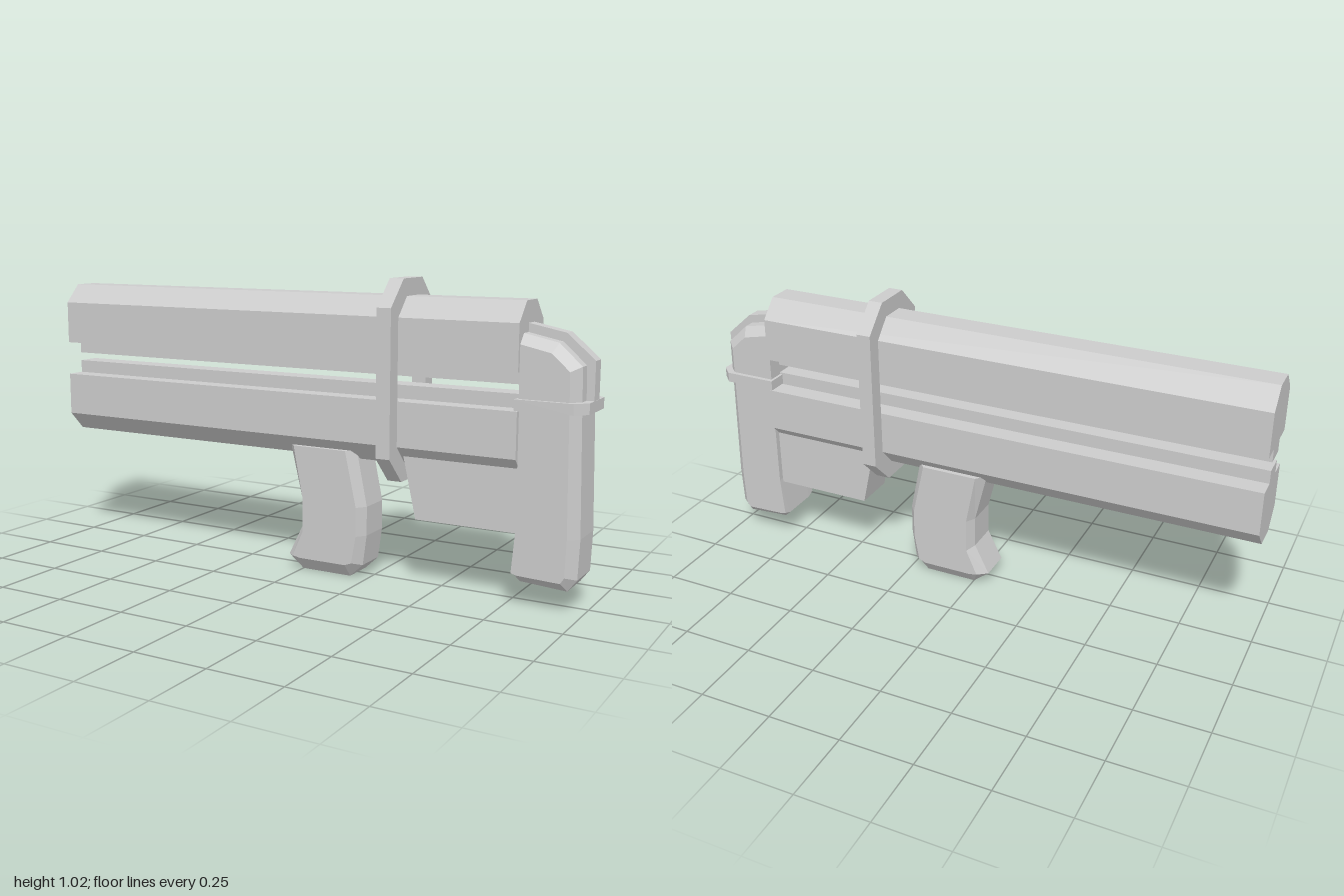
import * as THREE from 'three';

const material = new THREE.MeshStandardMaterial({ color: 0xcccccc, flatShading: true, roughness: 0.8 });

const toPoints = (list) => list.map(([a, b]) => new THREE.Vector2(a, b));

// Mirror the right half of a cross-section across the vertical axis
const mirrored = (half) => [...half, ...half.map(([a, b]) => [-a, b]).reverse()];

function addMesh(group, name, geometry) {
  const mesh = new THREE.Mesh(geometry, material);
  mesh.name = name;
  group.add(mesh);
  return mesh;
}

function extrude(points, depth, hole) {
  const shape = new THREE.Shape(toPoints(points));
  if (hole) shape.holes.push(new THREE.Path(toPoints(hole)));
  return new THREE.ExtrudeGeometry(shape, { depth, bevelEnabled: false });
}

// Extrude a (z, y) section along x
const alongX = (section, x0, x1, hole) =>
  extrude(section, x1 - x0, hole).rotateY(Math.PI / 2).translate(x0, 0, 0);

// Extrude an (x, y) side profile, centred on z
const acrossZ = (profile, halfZ) => extrude(profile, halfZ * 2).translate(0, 0, -halfZ);

// Side profile with chamfered edges: full outline between +-zFull, inset outline at +-zEdge.
// Both outlines run counterclockwise and have the same number of points.
function chamferedSlab(full, inset, zFull, zEdge) {
  const layers = [[inset, -zEdge], [full, -zFull], [full, zFull], [inset, zEdge]];
  const n = full.length;
  const positions = [];
  const corner = (layer, i) => positions.push(...layers[layer][0][i % n], layers[layer][1]);
  for (let k = 0; k < 3; k++) {
    for (let i = 0; i < n; i++) {
      corner(k, i); corner(k, i + 1); corner(k + 1, i + 1);
      corner(k, i); corner(k + 1, i + 1); corner(k + 1, i);
    }
  }
  for (const [a, b, c] of THREE.ShapeUtils.triangulateShape(toPoints(inset), [])) {
    corner(3, a); corner(3, b); corner(3, c);
    corner(0, a); corner(0, c); corner(0, b);
  }
  const geometry = new THREE.BufferGeometry();
  geometry.setAttribute('position', new THREE.Float32BufferAttribute(positions, 3));
  geometry.computeVertexNormals();
  return geometry;
}

export function createModel() {
  const model = new THREE.Group();
  model.name = 'launcher';

  // Twin housings, mirrored about the slot between them
  const midY = 0.685;
  const upper = [[0.04, 0.7], [0.04, 0.745], [0.107, 0.745], [0.107, 0.895], [0.045, 0.96]];
  const lower = upper.map(([z, y]) => [z, 2 * midY - y]).reverse();
  addMesh(model, 'upperHousing', alongX(mirrored(upper), -1, 0.785));
  addMesh(model, 'lowerHousing', alongX(mirrored(lower), -1, 0.785));

  // Octagonal clamp around both housings
  const octagon = (w, flat, top, shoulder) =>
    mirrored([[flat, 2 * midY - top], [w, 2 * midY - shoulder], [w, shoulder], [flat, top]]);
  addMesh(model, 'clampRing',
    alongX(octagon(0.16, 0.07, 1.017, 0.928), 0.33, 0.38, octagon(0.107, 0.045, 0.96, 0.895)));

  // Grip with a flared, chamfered foot
  addMesh(model, 'grip', chamferedSlab(
    [[-0.05, 0.44], [-0.005, 0.26], [-0.005, 0.15], [-0.057, 0.045], [0, 0],
      [0.185, 0], [0.233, 0.045], [0.247, 0.15], [0.247, 0.25], [0.208, 0.44]],
    [[-0.02, 0.44], [0.015, 0.26], [0.015, 0.14], [-0.025, 0.05], [0.005, 0.045],
      [0.18, 0.045], [0.205, 0.055], [0.222, 0.15], [0.222, 0.25], [0.18, 0.44]],
    0.057, 0.09));

  // Block under the rear of the lower housing
  addMesh(model, 'underBlock',
    acrossZ([[0.435, 0.235], [0.8, 0.235], [0.8, 0.45], [0.387, 0.45]], 0.075));

  // Rear stock: lower leg
  addMesh(model, 'stockLeg', chamferedSlab(
    [[0.787, 0.64], [0.787, 0.25], [0.773, 0.1], [0.795, 0.08],
      [0.95, 0.07], [0.98, 0.11], [0.985, 0.24], [0.975, 0.64]],
    [[0.787, 0.64], [0.787, 0.25], [0.775, 0.11], [0.795, 0.105],
      [0.935, 0.1], [0.948, 0.12], [0.952, 0.24], [0.945, 0.64]],
    0.065, 0.095));

  // Rear stock: rounded cap above the band
  addMesh(model, 'stockCap', chamferedSlab(
    [[0.785, 0.65], [0.975, 0.65], [0.972, 0.77], [0.898, 0.838], [0.785, 0.862]],
    [[0.785, 0.65], [0.945, 0.65], [0.943, 0.755], [0.885, 0.808], [0.785, 0.83]],
    0.065, 0.095));

  // Raised rib over the cap
  addMesh(model, 'stockRib', acrossZ(
    [[0.785, 0.65], [0.999, 0.65], [0.999, 0.785], [0.908, 0.865], [0.785, 0.89]], 0.025));

  // Band between leg and cap
  const band = [[0.775, -0.11], [0.962, -0.11], [1, -0.073], [1, 0.073], [0.962, 0.11], [0.775, 0.11]];
  addMesh(model, 'stockBand', extrude(band, 0.035).rotateX(-Math.PI / 2).translate(0, 0.628, 0));

  return model;
}
